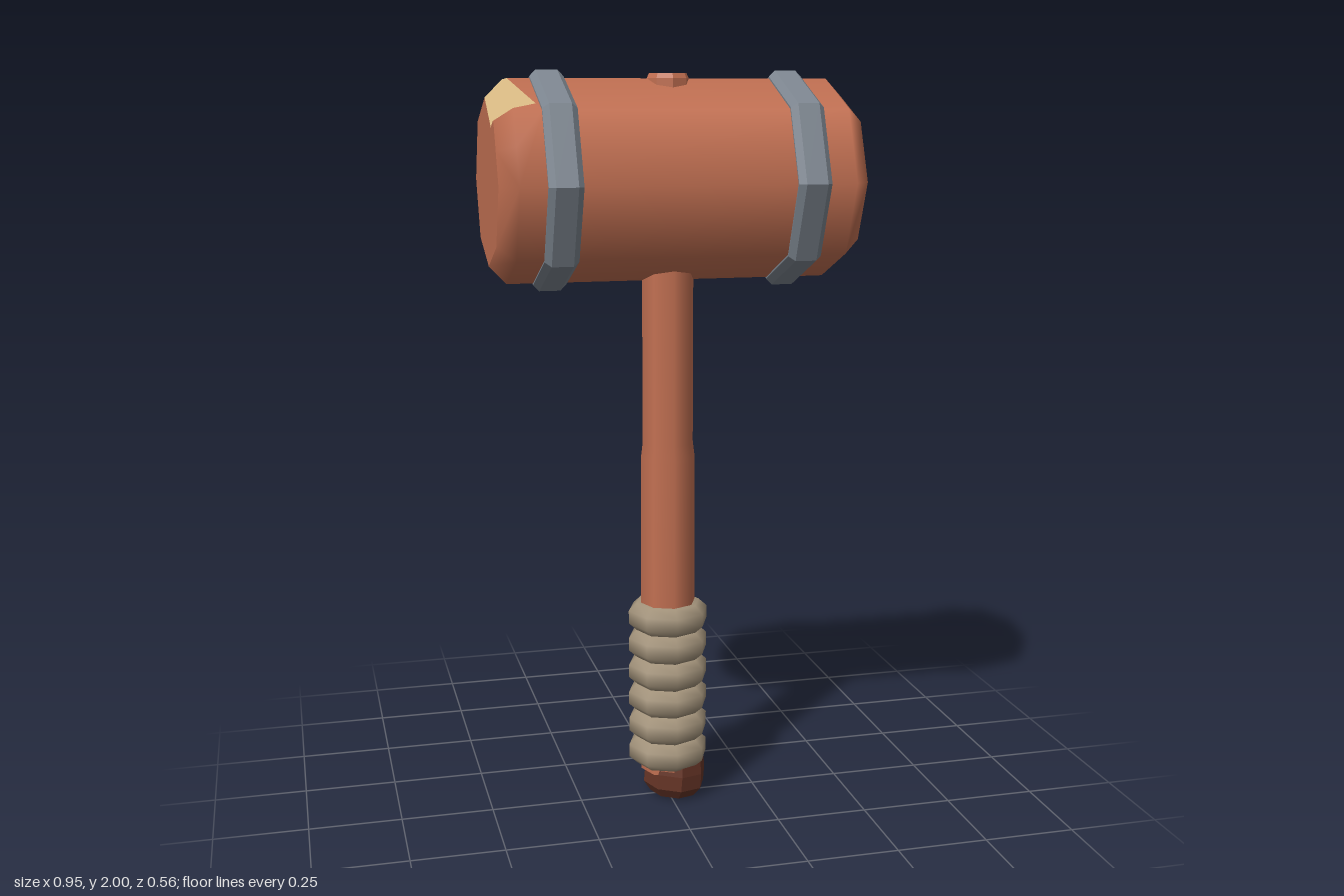
import * as THREE from 'three';

const V = (x, y, z) => new THREE.Vector3(x, y, z);
const CY = 1.72; // height of the head's axis

const mat = (name, color) => {
  const m = new THREE.MeshStandardMaterial({ color });
  m.name = name;
  return m;
};

// Polygons are arrays of { p: position, n: normal }. Keeps the part on one side of a plane.
function clip(poly, plane, sign) {
  const out = [];
  poly.forEach((a, i) => {
    const b = poly[(i + 1) % poly.length];
    const da = sign * plane.distanceToPoint(a.p), db = sign * plane.distanceToPoint(b.p);
    if (da >= 0) out.push(a);
    if ((da > 0 && db < 0) || (da < 0 && db > 0)) {
      const t = da / (da - db);
      out.push({ p: a.p.clone().lerp(b.p, t), n: a.n.clone().lerp(b.n, t).normalize() });
    }
  });
  return out;
}

function toGeometry(polys) {
  const pos = [], nor = [];
  for (const poly of polys) {
    for (let i = 1; i < poly.length - 1; i++) {
      for (const v of [poly[0], poly[i], poly[i + 1]]) {
        pos.push(...v.p.toArray());
        nor.push(...v.n.toArray());
      }
    }
  }
  const g = new THREE.BufferGeometry();
  g.setAttribute('position', new THREE.Float32BufferAttribute(pos, 3));
  g.setAttribute('normal', new THREE.Float32BufferAttribute(nor, 3));
  return g;
}

// Eight-sided head with bevelled ends, lying along x
function headPolygons() {
  const radial = i => V(0, Math.cos(i * Math.PI / 4), Math.sin(i * Math.PI / 4));
  const at = (x, r, i) => radial(i).multiplyScalar(r).add(V(x, CY, 0));
  const polys = [];
  const add = (...pts) => {
    const n = pts[1].p.clone().sub(pts[0].p).cross(pts[2].p.clone().sub(pts[0].p));
    const mid = pts[0].p.clone().add(pts[2].p).multiplyScalar(0.5).sub(V(0, CY, 0));
    polys.push(n.dot(mid) < 0 ? pts.reverse() : pts);
  };
  for (let i = 0; i < 8; i++) {
    const j = i + 1;
    const v = (x, r, k) => ({ p: at(x, r, k), n: radial(k) });
    add(v(-0.43, 0.26, i), v(0.43, 0.26, i), v(0.43, 0.26, j), v(-0.43, 0.26, j));
    for (const s of [-1, 1]) {
      const rim = k => ({ p: at(s * 0.475, 0.213, k), n: radial(k).multiplyScalar(0.35).add(V(s, 0, 0)).normalize() });
      add(v(s * 0.43, 0.26, i), rim(i), rim(j), v(s * 0.43, 0.26, j));
    }
  }
  for (const s of [-1, 1]) {
    add(...[0, 1, 2, 3, 4, 5, 6, 7].map(k => ({ p: at(s * 0.475, 0.213, k), n: V(s, 0, 0) })));
  }
  return polys;
}

// Cuts a two-faced notch: wall through k, a, b and floor through k, b, c
function notch(polys, hull, k, a, b, c) {
  const makePlane = (q, r, side) => {
    const pl = new THREE.Plane().setFromCoplanarPoints(k, q, r);
    return pl.distanceToPoint(side) < 0 ? pl.negate() : pl;
  };
  const wall = makePlane(a, b, c), floor = makePlane(b, c, a);
  const kept = polys.flatMap(p => [clip(p, wall, -1), clip(clip(p, wall, 1), floor, -1)]).filter(p => p.length > 2);
  const faces = [[wall, floor], [floor, wall]].map(([pl, other]) => {
    const n = pl.normal, u = V(0, 1, 0).cross(n).normalize(), w = n.clone().cross(u);
    let face = [[-1, -1], [1, -1], [1, 1], [-1, 1]].map(([s, t]) => ({
      p: k.clone().addScaledVector(u, s).addScaledVector(w, t), n: n.clone(),
    }));
    for (const h of hull) face = clip(face, h, -1);
    return clip(face, other, 1);
  });
  return { kept, faces };
}

const lathe = pts => new THREE.LatheGeometry(pts.map(([r, y]) => new THREE.Vector2(r, y)), 8);

export function createModel() {
  const wood = mat('reddish wood', 0xc27052);
  const bare = mat('bare wood', 0xd3b57f);
  const metal = mat('grey metal', 0x7c858f);
  const cord = mat('tan wrap', 0xa2927a);
  const dark = mat('dark wood', 0x653426);

  const model = new THREE.Group();
  model.name = 'mallet';
  const add = (name, geometry, material, parent = model) => {
    const m = new THREE.Mesh(geometry, material);
    m.name = name;
    parent.add(m);
    return m;
  };

  // Head with a chip broken out of each end
  const polys = headPolygons();
  const hull = polys.map(p => new THREE.Plane().setFromCoplanarPoints(p[0].p, p[1].p, p[2].p));
  const upper = notch(polys, hull, V(-0.475, 1.86, 0.1), V(-0.475, 1.93, 0), V(-0.37, 1.918, 0.15), V(-0.43, 1.907, 0.175));
  const lower = notch(upper.kept, hull, V(0.475, 1.63, -0.143), V(0.475, 1.515, 0), V(0.38, 1.51, -0.12), V(0.43, 1.59, -0.207));
  add('head', toGeometry(lower.kept), wood);
  add('upperChip', toGeometry(upper.faces), bare);
  add('lowerChip', toGeometry(lower.faces), bare);

  // Bevelled metal bands
  for (const s of [-1, 1]) {
    const g = lathe([[0.24, -0.044], [0.265, -0.044], [0.281, -0.028], [0.281, 0.028], [0.265, 0.044], [0.24, 0.044]])
      .rotateZ(-Math.PI / 2).toNonIndexed();
    g.computeVertexNormals();
    add(s > 0 ? 'leftBand' : 'rightBand', g, metal).position.set(s * 0.317, CY, 0);
  }

  // Handle and its end showing through the top of the head
  add('handle', lathe([[0.076, 0.08], [0.076, 0.6], [0.075, 0.98], [0.07, 1.02], [0.07, 1.6]]), wood);
  const peg = lathe([[0.056, 1.93], [0.056, 1.98], [0.05, 1.993], [0, 1.993]]).toNonIndexed();
  peg.computeVertexNormals();
  add('handlePeg', peg, wood);

  // Grip of six wrapped rings
  const grip = new THREE.Group();
  grip.name = 'grip';
  model.add(grip);
  for (let i = 0; i < 6; i++) {
    add('gripRing', lathe([[0.06, -0.04], [0.088, -0.039], [0.111, -0.018], [0.111, 0.018], [0.088, 0.039], [0.06, 0.04]]), cord, grip)
      .position.y = 0.137 + i * 0.0786;
  }

  // Slightly tilted butt of the handle
  const butt = lathe([[0, 0], [0.066, 0], [0.087, 0.028], [0.087, 0.07], [0.08, 0.11]]).toNonIndexed();
  butt.computeVertexNormals();
  const knob = add('handleButt', butt, dark);
  knob.position.set(0.015, 0.006, 0);
  knob.rotation.z = -0.08;

  return model;
}
